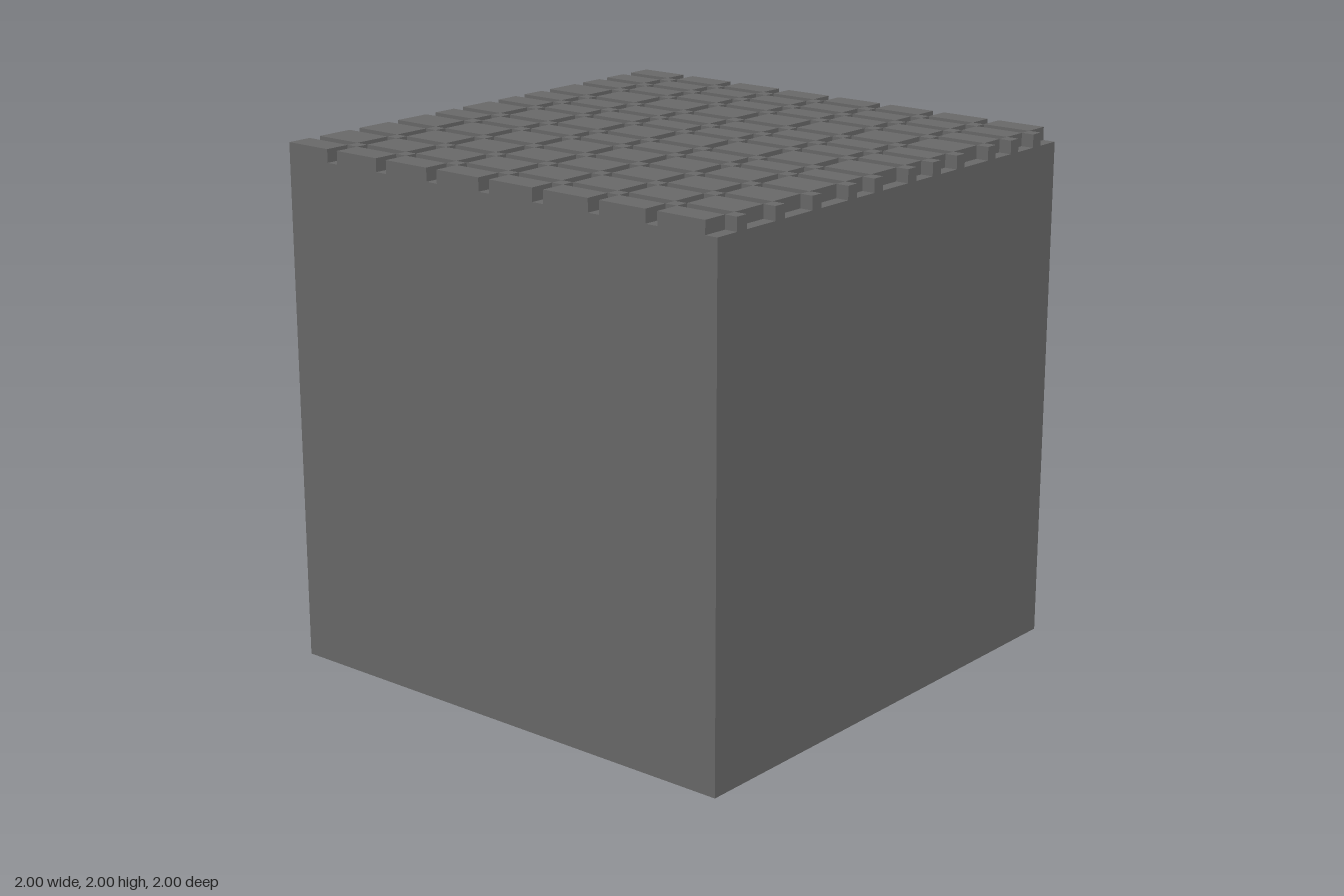
import * as THREE from 'three';

const TOP = 2, DEPTH = 0.05, GROOVE = 0.05;

// Lower edge of every groove; each groove is 0.05 wide
const GROOVES_X = [-0.8, -0.55, -0.3, -0.05, 0.2, 0.45, 0.7, 0.95];
const GROOVES_Z = [-0.9, -0.75, -0.6, -0.4, -0.25, -0.1, 0.1, 0.25, 0.45, 0.65, 0.85];

// Raised spans left between the grooves
function spansBetween(grooves) {
  const spans = [];
  let start = -1;
  for (const g of grooves) {
    spans.push([start, g]);
    start = g + GROOVE;
  }
  if (start < 0.999) spans.push([start, 1]);
  return spans;
}

export function createModel() {
  const model = new THREE.Group();
  const stone = new THREE.MeshStandardMaterial({ color: 0x696969 });
  stone.name = 'stoneGrey';

  function addBox(parent, name, [x0, x1], [y0, y1], [z0, z1]) {
    const mesh = new THREE.Mesh(new THREE.BoxGeometry(x1 - x0, y1 - y0, z1 - z0), stone);
    mesh.position.set((x0 + x1) / 2, (y0 + y1) / 2, (z0 + z1) / 2);
    mesh.name = name;
    parent.add(mesh);
  }

  // Solid cube up to the groove floor
  addBox(model, 'body', [-1, 1], [0, TOP - DEPTH], [-1, 1]);

  const raised = [TOP - DEPTH, TOP];

  // Paving tiles between the grooves
  const tiles = new THREE.Group();
  tiles.name = 'tiles';
  for (const xs of spansBetween(GROOVES_X))
    for (const zs of spansBetween(GROOVES_Z)) addBox(tiles, 'tile', xs, raised, zs);
  model.add(tiles);

  // Small studs standing where grooves cross
  const studs = new THREE.Group();
  studs.name = 'studs';
  for (const x of GROOVES_X)
    for (const z of GROOVES_Z) addBox(studs, 'stud', [x, x + GROOVE], raised, [z, z + GROOVE]);
  model.add(studs);

  return model;
}
